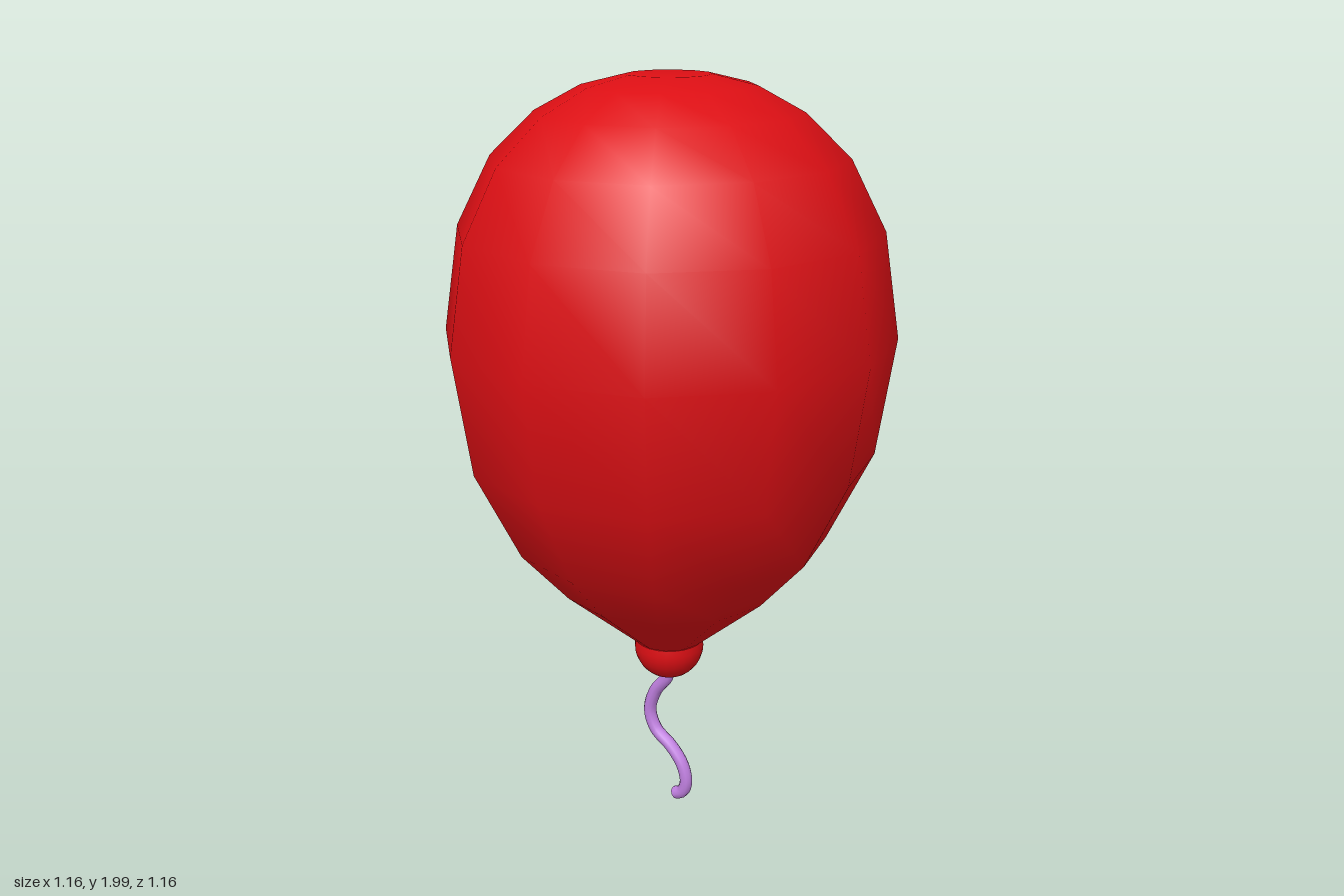
import * as THREE from 'three';

const red = new THREE.MeshStandardMaterial({ color: 0xdc0f14 });
const lilac = new THREE.MeshStandardMaterial({ color: 0xc080e0 });

// Revolved part from [radius, height] pairs listed bottom to top
function lathe(name, profile, segments) {
  const points = profile.map(([r, y]) => new THREE.Vector2(r, y));
  const mesh = new THREE.Mesh(new THREE.LatheGeometry(points, segments), red);
  mesh.name = name;
  return mesh;
}

export function createModel() {
  const group = new THREE.Group();
  group.name = 'balloon';

  // Twelve-sided, smooth-shaded envelope
  group.add(lathe('envelope', [
    [0.085, 0.495], [0.29, 0.668], [0.416, 0.808], [0.534, 1.046], [0.58, 1.354],
    [0.538, 1.624], [0.448, 1.8], [0.334, 1.91], [0.217, 1.973], [0.106, 2], [0, 2],
  ], 12));

  // Rounded knot: a bowl with a flat top
  const bowl = [];
  for (let i = 0; i <= 8; i++) {
    const a = (i / 8) * Math.PI / 2;
    bowl.push([0.094 * Math.sin(a), 0.48 - 0.093 * Math.cos(a)]);
  }
  bowl.push([0.092, 0.5]);
  group.add(lathe('knot', bowl, 24));
  const lid = new THREE.Mesh(new THREE.CircleGeometry(0.092, 24), red);
  lid.name = 'knotTop';
  lid.rotation.x = -Math.PI / 2;
  lid.position.y = 0.5;
  group.add(lid);

  // Wavy string in the x = 0 plane, [z, y] from knot to free end
  const path = new THREE.CatmullRomCurve3([
    [0, 0.41], [-0.008, 0.375], [-0.045, 0.325], [-0.065, 0.26], [-0.045, 0.205],
    [0.008, 0.165], [0.045, 0.12], [0.058, 0.07], [0.046, 0.035], [0.022, 0.022],
  ].map(([z, y]) => new THREE.Vector3(0, y, z)));
  const string = new THREE.Mesh(new THREE.TubeGeometry(path, 40, 0.018, 10), lilac);
  string.name = 'string';
  group.add(string);

  // Cap on the free end of the string
  const cap = new THREE.Mesh(new THREE.CircleGeometry(0.018, 10), lilac);
  cap.name = 'stringEnd';
  cap.position.copy(path.getPoint(1));
  cap.lookAt(path.getPoint(1).add(path.getTangent(1)));
  group.add(cap);

  return group;
}
